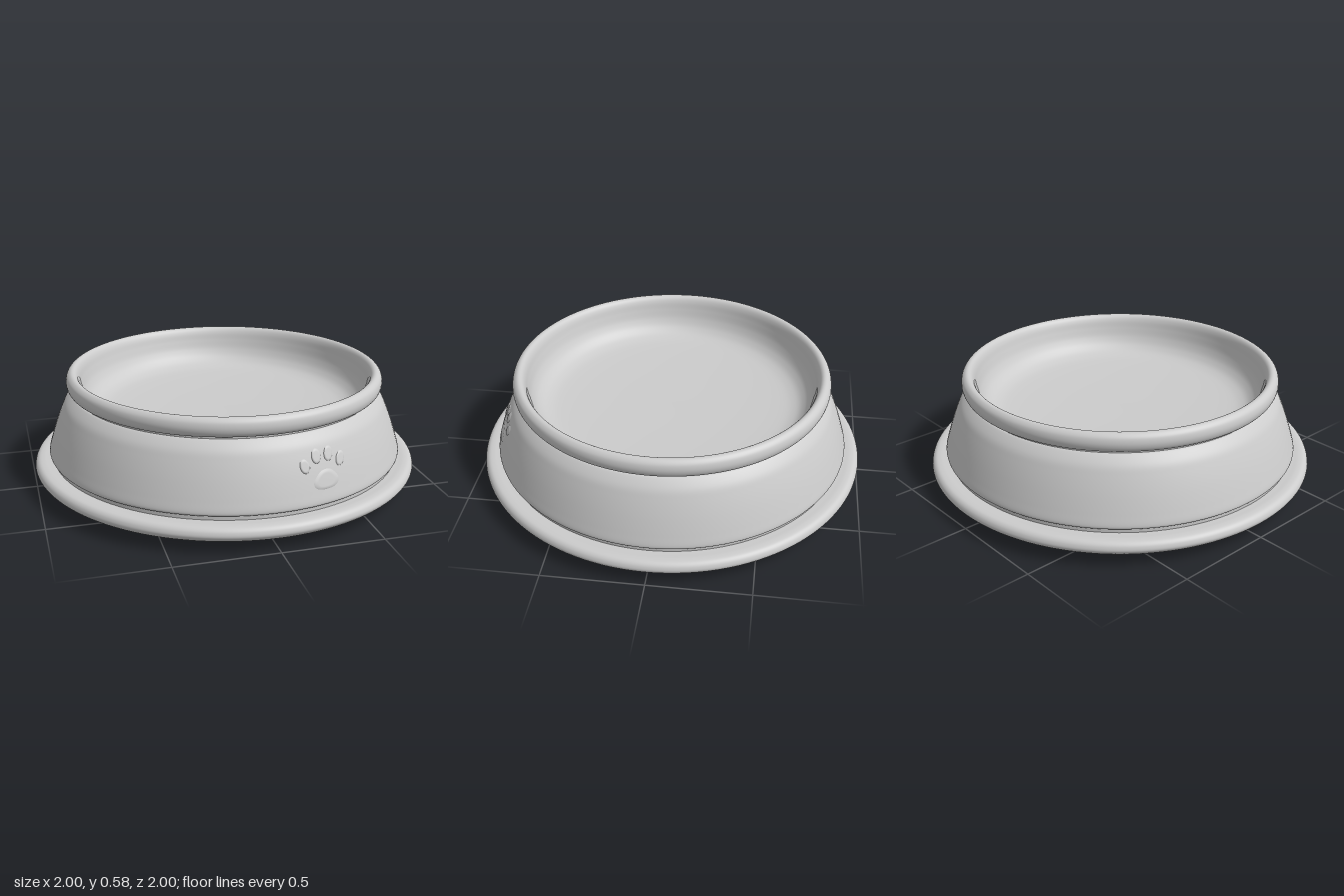
import * as THREE from 'three';

const material = new THREE.MeshStandardMaterial({ color: 0xcccccc, side: THREE.DoubleSide });
const curveOf = (pts) => new THREE.SplineCurve(pts.map(([r, y]) => new THREE.Vector2(r, y)));

// Side wall profile, also used to lay the paw print on the surface
const wallCurve = curveOf([[0.905, 0.15], [0.922, 0.165], [0.908, 0.22], [0.878, 0.31], [0.848, 0.385], [0.825, 0.43], [0.79, 0.468], [0.775, 0.472]]);
const wallPoints = wallCurve.getPoints(64);

function wallRadius(y) {
  const i = wallPoints.findIndex((p, k) => k > 8 && p.y >= y);
  const a = wallPoints[i - 1], b = wallPoints[i];
  return a.x + (b.x - a.x) * (y - a.y) / (b.y - a.y);
}

function addLathe(group, name, points) {
  const mesh = new THREE.Mesh(new THREE.LatheGeometry(points, 128), material);
  mesh.name = name;
  group.add(mesh);
}

// Low domed oval that follows the curved wall
function pawPad(name, cx, cy, rx, ry, tilt, lobed = 0) {
  const geo = new THREE.RingGeometry(0.001, 1, 40, 5);
  const pos = geo.attributes.position;
  for (let i = 0; i < pos.count; i++) {
    const u = pos.getX(i), v = pos.getY(i);
    const d = Math.hypot(u, v);
    const s = 1 + lobed * Math.cos(3 * Math.atan2(v, u) + Math.PI / 2);
    const px = u * rx * s, py = v * ry * s;
    const x = cx + px * Math.cos(tilt) - py * Math.sin(tilt);
    const y = cy + px * Math.sin(tilt) + py * Math.cos(tilt);
    const r = wallRadius(y) + (d > 0.95 ? -0.002 : 0.004);
    pos.setXYZ(i, x, y, Math.sqrt(r * r - x * x));
  }
  geo.computeVertexNormals();
  const mesh = new THREE.Mesh(geo, material);
  mesh.name = name;
  return mesh;
}

export function createModel() {
  const group = new THREE.Group();
  group.name = 'petBowl';

  // Gently convex underside with a rounded foot flange
  addLathe(group, 'baseFlange', curveOf([
    [0, 0], [0.35, 0.002], [0.6, 0.008], [0.8, 0.02], [0.91, 0.036], [0.97, 0.058],
    [0.998, 0.085], [0.996, 0.11], [0.98, 0.127], [0.955, 0.132], [0.925, 0.131], [0.9, 0.13],
  ]).getPoints(80));

  // Narrow groove between flange and wall
  addLathe(group, 'lowerGroove', [new THREE.Vector2(0.905, 0.128), new THREE.Vector2(0.905, 0.152)]);

  addLathe(group, 'sideWall', wallPoints);

  // Neck under the rim
  addLathe(group, 'neck', [new THREE.Vector2(0.78, 0.465), new THREE.Vector2(0.78, 0.495)]);

  // Rolled rim running down into the shallow dish
  addLathe(group, 'rimAndDish', curveOf([
    [0.775, 0.485], [0.797, 0.487], [0.813, 0.503], [0.819, 0.53], [0.813, 0.558],
    [0.797, 0.575], [0.78, 0.578], [0.765, 0.568], [0.753, 0.545], [0.742, 0.505],
    [0.725, 0.455], [0.695, 0.41], [0.645, 0.378], [0.55, 0.363], [0.3, 0.353], [0, 0.35],
  ]).getPoints(120));

  // Raised paw print on the front, towards the model's left
  const paw = new THREE.Group();
  paw.name = 'pawPrint';
  paw.add(pawPad('mainPad', 0.257, 0.265, 0.07, 0.046, 0, 0.08));
  [[0.15, 0.34, 0.35], [0.212, 0.374, 0.12], [0.278, 0.374, -0.12], [0.342, 0.34, -0.35]]
    .forEach(([x, y, tilt], i) => paw.add(pawPad('toePad' + (i + 1), x, y, 0.025, 0.034, tilt)));
  group.add(paw);

  return group;
}
